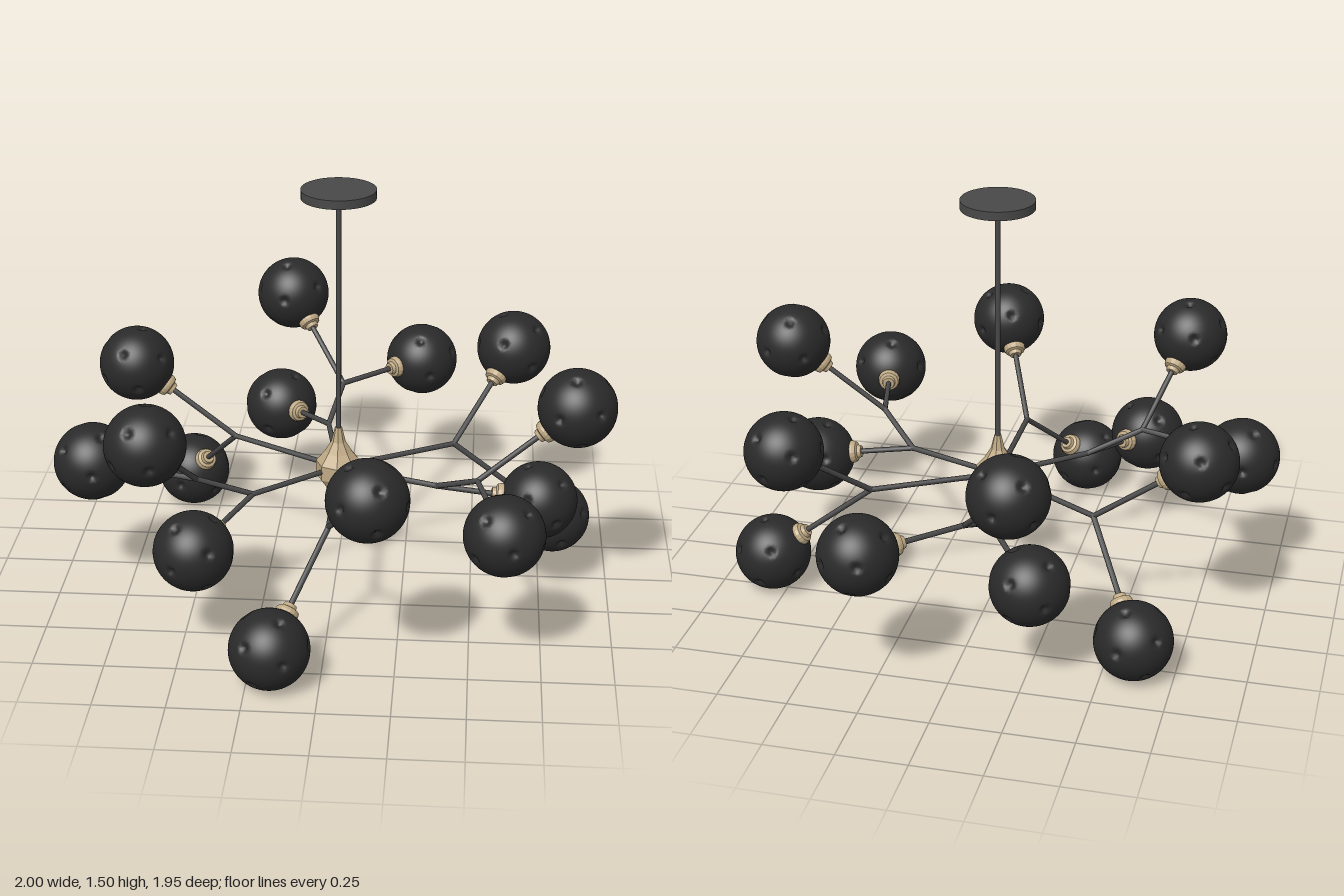
import * as THREE from 'three';
import { mergeVertices } from 'three/addons/utils/BufferGeometryUtils.js';

const R = 0.139; // globe radius
const V = (x, y, z) => new THREE.Vector3(x, y, z);
const UP = V(0, 1, 0);

// Sphere with shallow dimples at the twelve points of an icosahedron
function dimpledGlobe() {
  const dimples = [V(0, 1, 0), V(0, -1, 0)];
  for (let i = 0; i < 5; i++) {
    const a = (i / 5) * Math.PI * 2;
    const c = Math.cos(0.4636), s = Math.sin(0.4636);
    dimples.push(V(c * Math.cos(a), s, c * Math.sin(a)));
    dimples.push(V(c * Math.cos(a + Math.PI / 5), -s, c * Math.sin(a + Math.PI / 5)));
  }
  let geo = new THREE.IcosahedronGeometry(R, 16);
  geo.deleteAttribute('uv');
  geo.deleteAttribute('normal');
  geo = mergeVertices(geo, 1e-5);
  const pos = geo.attributes.position;
  const p = V(0, 0, 0);
  for (let i = 0; i < pos.count; i++) {
    p.fromBufferAttribute(pos, i).normalize();
    const angle = Math.min(...dimples.map((d) => d.angleTo(p)));
    const t = Math.max(0, 1 - angle / 0.17);
    p.multiplyScalar(R - 0.016 * t * t * (3 - 2 * t));
    pos.setXYZ(i, p.x, p.y, p.z);
  }
  geo.computeVertexNormals();
  return geo;
}

export function createModel() {
  const model = new THREE.Group();
  const mat = (name, color) => {
    const m = new THREE.MeshStandardMaterial({ color });
    m.name = name;
    return m;
  };
  const black = mat('black globe', 0x2a2a2a);
  const metal = mat('dark metal', 0x484848);
  const brass = mat('pale brass', 0xbfa984);
  brass.flatShading = true;

  const add = (name, geo, material, parent = model) => {
    const mesh = new THREE.Mesh(geo, material);
    mesh.name = name;
    parent.add(mesh);
    return mesh;
  };
  const rod = (name, a, b) => {
    const dir = b.clone().sub(a);
    const mesh = add(name, new THREE.CylinderGeometry(0.01, 0.01, dir.length(), 10), metal);
    mesh.position.copy(a).add(b).multiplyScalar(0.5);
    mesh.quaternion.setFromUnitVectors(UP, dir.normalize());
  };
  const lathe = (pts, n) => new THREE.LatheGeometry(pts.map(([r, y]) => new THREE.Vector2(r, y)), n);

  // Ceiling plate with small screws underneath, and the hanging pole
  const cx = 0.008, cz = 0.012;
  add('ceilingPlate', new THREE.CylinderGeometry(0.133, 0.133, 0.032, 40), metal).position.set(cx, 1.484, cz);
  for (let i = 0; i < 6; i++) {
    const a = (i / 6) * Math.PI * 2;
    add('plateScrew', new THREE.CylinderGeometry(0.006, 0.006, 0.012, 8), metal)
      .position.set(cx + 0.055 * Math.cos(a), 1.464, cz + 0.055 * Math.sin(a));
  }
  rod('pole', V(cx, 0.55, cz), V(cx, 1.475, cz));

  // Faceted spindle hub
  add('hub', lathe([[0, 0.285], [0.022, 0.325], [0.05, 0.36], [0.082, 0.405], [0.082, 0.46],
    [0.05, 0.5], [0.026, 0.54], [0.013, 0.595], [0, 0.595]], 8), brass).position.set(cx, 0, cz);

  const globeGeo = dimpledGlobe();
  const socketGeo = lathe([[0, -0.172], [0.022, -0.172], [0.026, -0.158], [0.037, -0.154],
    [0.042, -0.142], [0.042, -0.134], [0.034, -0.12]], 16);

  // Rod from a joint to a globe, ending in a brass socket
  const lamp = (joint, [x, y, z]) => {
    const centre = V(x, y, z);
    const dir = centre.clone().sub(joint).normalize();
    rod('branch', joint, centre.clone().addScaledVector(dir, -0.15));
    const g = new THREE.Group();
    g.name = 'lamp';
    g.position.copy(centre);
    g.quaternion.setFromUnitVectors(UP, dir);
    add('globe', globeGeo, black, g);
    add('socket', socketGeo, brass, g);
    model.add(g);
  };

  // Each arm: joint, its globes, and optionally a second joint with two more
  const arms = [
    { joint: [-0.056, -0.365], globes: [[-0.267, 0.38, -0.668]],
      next: [-0.013, -0.56], more: [[-0.23, 0.793, -0.825], [0.283, 0.519, -0.838]] },
    { joint: [0.425, -0.22], globes: [[0.642, 0.709, -0.52], [0.805, 0.141, -0.238]] },
    { joint: [0.37, 0.144], globes: [[0.738, 0.38, 0.12]],
      next: [0.516, 0.273], more: [[0.856, 0.793, 0.226], [0.61, 0.519, 0.676]] },
    { joint: [0.008, 0.492], globes: [[0.16, 0.709, 0.828], [-0.168, 0.141, 0.83]] },
    { joint: [-0.28, 0.257], globes: [[-0.45, 0.38, 0.596]],
      next: [-0.473, 0.326], more: [[-0.596, 0.793, 0.638], [-0.863, 0.519, 0.2]] },
    { joint: [-0.398, -0.23], globes: [[-0.77, 0.709, -0.265], [-0.607, 0.141, -0.547]] },
  ];
  for (const { joint, globes, next, more } of arms) {
    const j = V(joint[0], 0.435, joint[1]);
    rod('arm', V(cx, 0.435, cz), j);
    globes.forEach((g) => lamp(j, g));
    const ends = [j];
    if (next) {
      const k = V(next[0], 0.522, next[1]);
      rod('outerArm', j, k);
      more.forEach((g) => lamp(k, g));
      ends.push(k);
    }
    for (const e of ends) add('joint', new THREE.SphereGeometry(0.011, 10, 8), metal).position.copy(e);
  }
  return model;
}
